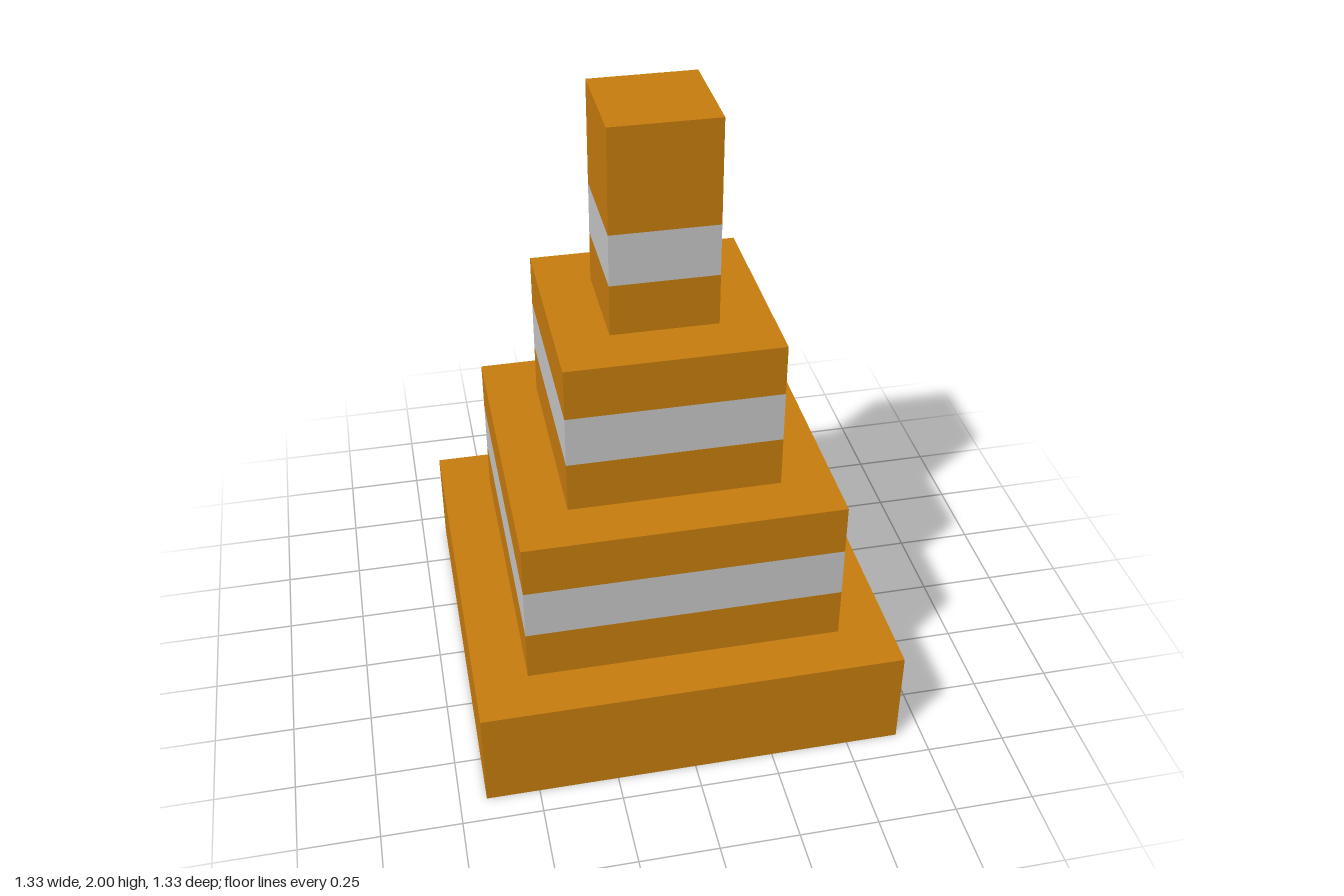
import * as THREE from 'three';

const U = 1 / 6; // modular unit: the whole cone is 12 units tall

export function createModel() {
  const orange = new THREE.MeshStandardMaterial({ color: 0xc87d0e });
  orange.name = 'orange';
  const paleGrey = new THREE.MeshStandardMaterial({ color: 0xc8c8c8 });
  paleGrey.name = 'paleGrey';

  // Square block cut into one-unit rows; the second row from the bottom is the stripe
  function stripedBlock(width, rows) {
    const geo = new THREE.BoxGeometry(width * U, rows * U, width * U, 1, rows, 1);
    const faces = geo.groups.slice();
    geo.clearGroups();
    for (const { start, count } of faces) {
      if (count === 6) {
        geo.addGroup(start, count, 0); // top and bottom
        continue;
      }
      const stripe = rows - 2; // rows run from the top down
      geo.addGroup(start, stripe * 6, 0);
      geo.addGroup(start + stripe * 6, 6, 1);
      geo.addGroup(start + (stripe + 1) * 6, 6, 0);
    }
    return geo;
  }

  const group = new THREE.Group();
  group.name = 'trafficCone';

  // Flat foot
  const base = new THREE.Mesh(new THREE.BoxGeometry(8 * U, 2 * U, 8 * U), orange);
  base.name = 'base';
  base.position.y = U;
  group.add(base);

  // Three stepped tiers, each with a pale band
  let bottom = 2;
  for (const [name, width, rows] of [['lowerTier', 6, 3], ['middleTier', 4, 3], ['topTier', 2, 4]]) {
    const tier = new THREE.Mesh(stripedBlock(width, rows), [orange, paleGrey]);
    tier.name = name;
    tier.position.y = (bottom + rows / 2) * U;
    group.add(tier);
    bottom += rows;
  }
  return group;
}
